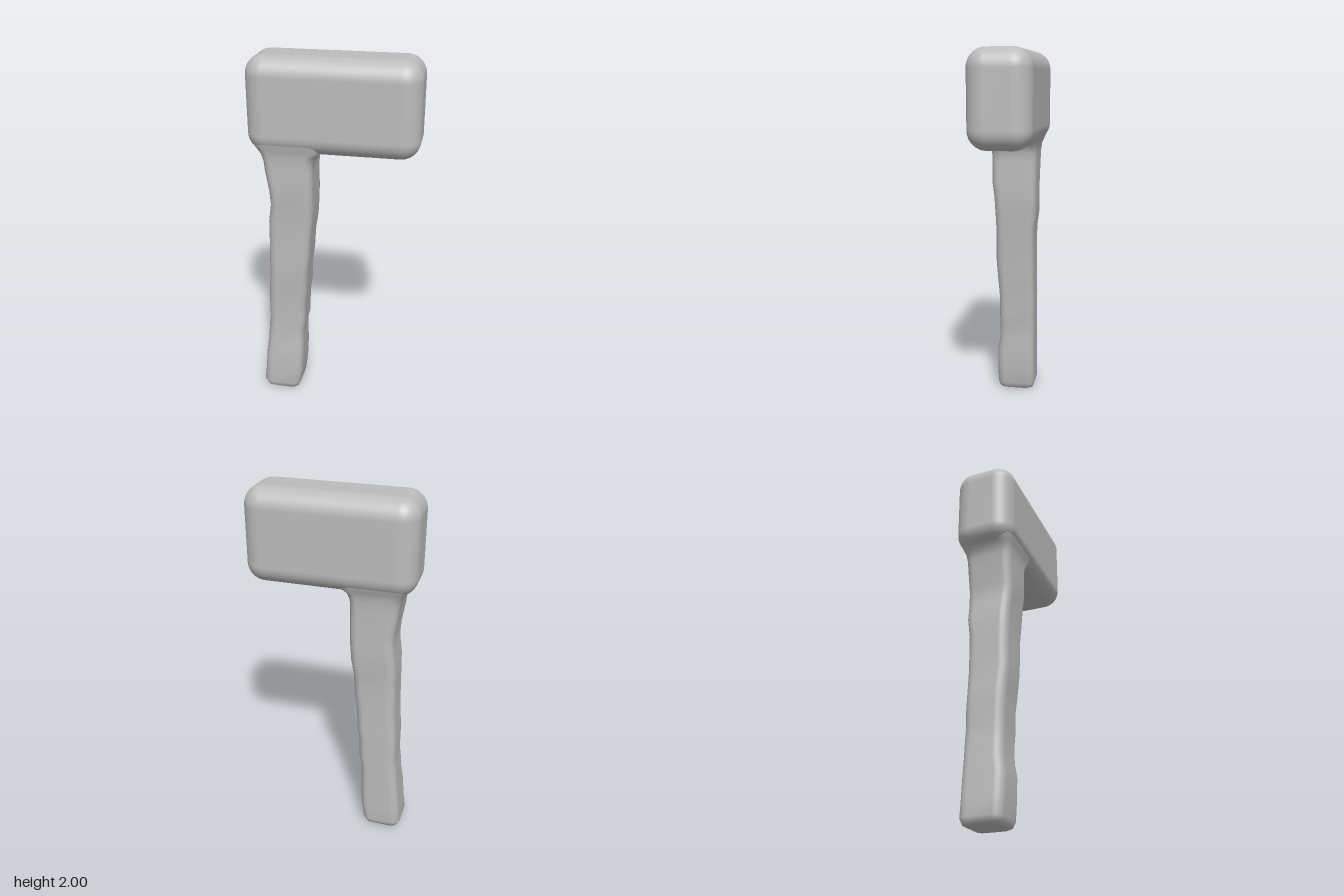
import * as THREE from 'three';
import { RoundedBoxGeometry } from 'three/addons/geometries/RoundedBoxGeometry.js';

// Handle cross-sections: y, xMin, xMax, zMin, zMax, corner radius
const SECTIONS = [
  [0.0, -0.385, -0.23, -0.07, 0.09, 0.03],
  [0.01, -0.405, -0.213, -0.09, 0.11, 0.04],
  [0.04, -0.42, -0.2, -0.1, 0.12, 0.045],
  [0.13, -0.41, -0.187, -0.1, 0.12, 0.045],
  [0.25, -0.4, -0.18, -0.1, 0.12, 0.045],
  [0.33, -0.39, -0.18, -0.1, 0.107, 0.045],
  [0.42, -0.383, -0.178, -0.1, 0.105, 0.045],
  [0.48, -0.375, -0.165, -0.1, 0.105, 0.045],
  [0.6, -0.375, -0.163, -0.102, 0.106, 0.045],
  [0.68, -0.37, -0.15, -0.1, 0.11, 0.045],
  [0.8, -0.36, -0.145, -0.1, 0.12, 0.045],
  [0.9, -0.36, -0.132, -0.1, 0.118, 0.045],
  [1.0, -0.357, -0.126, -0.102, 0.117, 0.045],
  [1.1, -0.355, -0.113, -0.115, 0.12, 0.045],
  [1.2, -0.34, -0.106, -0.116, 0.125, 0.045],
  [1.28, -0.342, -0.105, -0.116, 0.135, 0.045],
  [1.4, -0.362, -0.105, -0.118, 0.135, 0.045],
  [1.45, -0.367, -0.102, -0.12, 0.135, 0.045],
  [1.49, -0.38, -0.085, -0.125, 0.138, 0.05],
  [1.515, -0.4, -0.05, -0.135, 0.143, 0.06],
  [1.55, -0.428, -0.03, -0.15, 0.153, 0.08],
  [1.6, -0.446, -0.02, -0.163, 0.163, 0.1],
];

// Smooth loft through rounded rectangles, closed at the bottom
function loft(sections, steps = 5) {
  const pos = [], index = [];
  const n = 4 * (steps + 1);
  for (const [y, x0, x1, z0, z1, r] of sections) {
    const corners = [[x1 - r, z1 - r], [x0 + r, z1 - r], [x0 + r, z0 + r], [x1 - r, z0 + r]];
    corners.forEach(([cx, cz], q) => {
      for (let k = 0; k <= steps; k++) {
        const a = (q + k / steps) * Math.PI / 2;
        pos.push(cx + r * Math.cos(a), y, cz + r * Math.sin(a));
      }
    });
  }
  for (let i = 0; i < sections.length - 1; i++) {
    for (let j = 0; j < n; j++) {
      const a = i * n + j, b = i * n + (j + 1) % n;
      index.push(a, a + n, b, b, a + n, b + n);
    }
  }
  const [y, x0, x1, z0, z1] = sections[0];
  const centre = pos.length / 3;
  pos.push((x0 + x1) / 2, y, (z0 + z1) / 2);
  for (let j = 0; j < n; j++) index.push(centre, j, (j + 1) % n);
  const geo = new THREE.BufferGeometry();
  geo.setAttribute('position', new THREE.Float32BufferAttribute(pos, 3));
  geo.setIndex(index);
  geo.computeVertexNormals();
  return geo;
}

export function createModel() {
  const group = new THREE.Group();
  group.name = 'hammer';
  const grey = new THREE.MeshStandardMaterial({ color: 0xbcbcbc });
  grey.name = 'plain grey';

  // Blocky rounded head
  const head = new THREE.Mesh(new RoundedBoxGeometry(0.895, 0.5, 0.33, 8, 0.1), grey);
  head.name = 'head';
  head.position.y = 1.75;

  // Uneven, carved handle flaring into the head
  const handle = new THREE.Mesh(loft(SECTIONS), grey);
  handle.name = 'handle';

  group.add(head, handle);
  return group;
}
